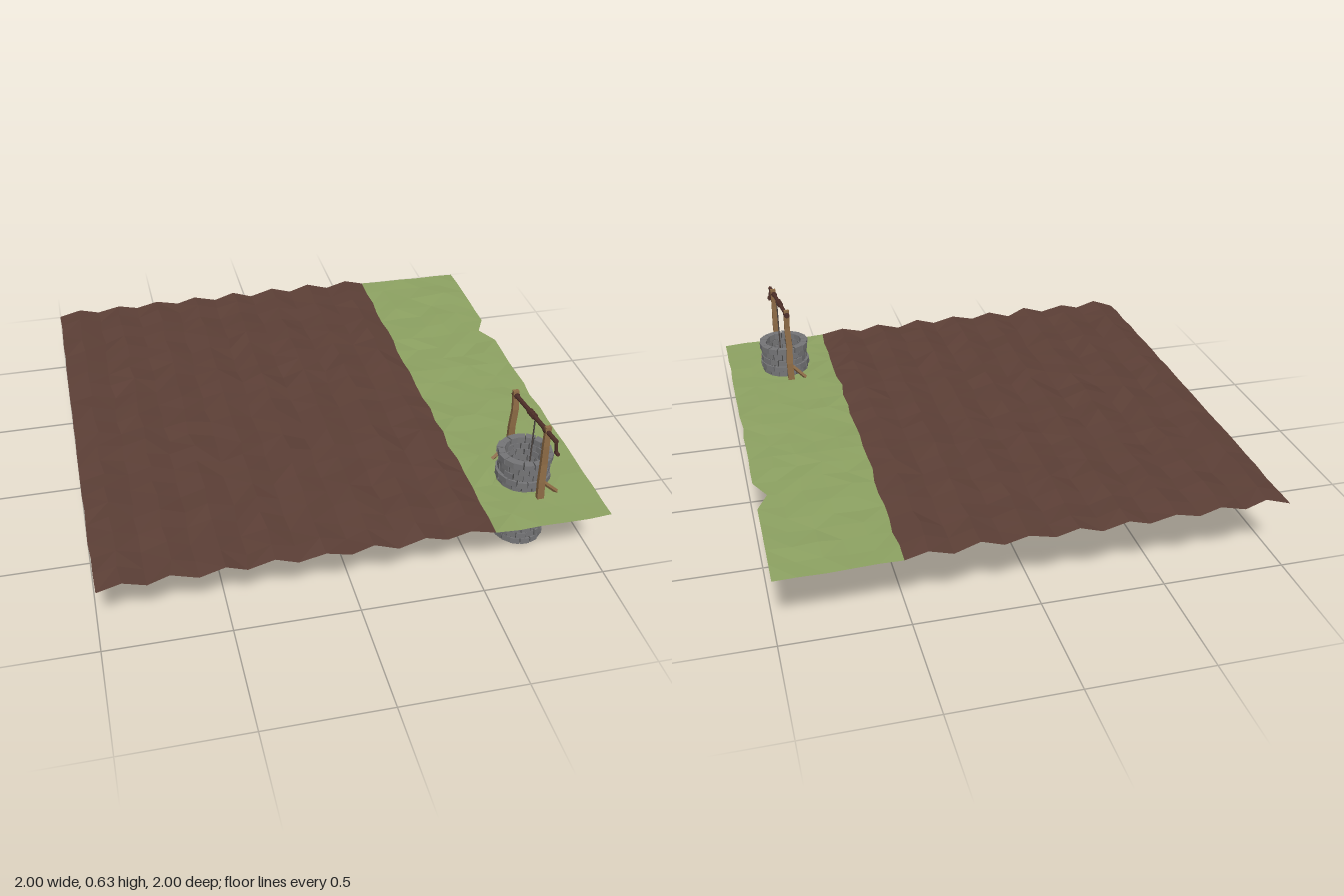
import * as THREE from 'three';
import { mergeGeometries } from 'three/addons/utils/BufferGeometryUtils.js';

const V = (x, y, z) => new THREE.Vector3(x, y, z);

function seeded(seed) {
  return () => {
    seed = (seed * 16807) % 2147483647;
    return (seed / 2147483647) * 2 - 1;   // -1 .. 1
  };
}

const mat = (name, color, side = THREE.FrontSide) => {
  const m = new THREE.MeshStandardMaterial({ color, side });
  m.name = name;
  return m;
};

function flat(geometry) {
  const g = geometry.index ? geometry.toNonIndexed() : geometry;
  g.computeVertexNormals();
  return g;
}

export function createModel() {
  const group = new THREE.Group();
  const soil = mat('soil brown', 0x5d4037, THREE.DoubleSide);
  const grass = mat('grass green', 0x8da262, THREE.DoubleSide);
  const stone = mat('stone grey', 0x757577);
  const mortar = mat('mortar dark grey', 0x484848, THREE.DoubleSide);
  const wood = mat('post wood', 0x8d6b45);
  const darkWood = mat('axle wood', 0x4e2f28);
  const ropeMat = mat('rope', 0x4a423e);

  const add = (name, geometry, material, parent = group) => {
    const mesh = new THREE.Mesh(geometry, material);
    mesh.name = name;
    parent.add(mesh);
    return mesh;
  };

  // ---- Ground: one jittered grid, ploughed ridges on the left, grass on the right
  const N = 21, FIELD = 16, step = 2 / N;
  const cx = 0.745, cz = 0.69;              // well centre
  const rand = seeded(4711);
  const grid = [];
  for (let i = 0; i <= N; i++) {
    grid.push([]);
    for (let j = 0; j <= N; j++) {
      const ridge = i < FIELD && i % 2 === 1;
      const p = V(-1 + i * step + rand() * 0.008, (ridge ? 0.319 : 0.29) + rand() * 0.004, -1 + j * step + rand() * 0.008);
      p.x = THREE.MathUtils.clamp(p.x, -1, 1);
      p.z = THREE.MathUtils.clamp(p.z, -1, 1);
      grid[i].push(p);
    }
  }
  grid[N][6].x = 0.953;                     // notch in the grass edge
  grid[0][0].set(-1, 0.29, -1);
  grid[N][N].set(1, 0.29, 0.99);

  const sheet = (triangles) => {
    const points = [];
    for (const [a, b, c] of triangles) {
      const up = (b.z - a.z) * (c.x - a.x) - (b.x - a.x) * (c.z - a.z) > 0;
      points.push(...(up ? [a, b, c] : [a, c, b]));
    }
    return flat(new THREE.BufferGeometry().setFromPoints(points));
  };
  const soilTris = [], grassTris = [];
  const [i0, i1, j0, j1] = [17, 20, 16, 19]; // patch of grass around the well
  for (let i = 0; i < N; i++) {
    for (let j = 0; j < N; j++) {
      if (i >= i0 && i < i1 && j >= j0 && j < j1) continue;
      const a = grid[i][j], b = grid[i + 1][j], c = grid[i + 1][j + 1], d = grid[i][j + 1];
      const list = i < FIELD ? soilTris : grassTris;
      if (rand() > 0) list.push([a, b, c], [a, c, d]);
      else list.push([a, b, d], [b, c, d]);
    }
  }
  // Patch with a round opening for the shaft
  const rim = [], hole = [];
  for (let i = i0; i < i1; i++) rim.push(grid[i][j0]);
  for (let j = j0; j < j1; j++) rim.push(grid[i1][j]);
  for (let i = i1; i > i0; i--) rim.push(grid[i][j1]);
  for (let j = j1; j > j0; j--) rim.push(grid[i0][j]);
  for (let k = 0; k < 16; k++) {
    const t = -k * Math.PI / 8;
    hole.push(V(cx + 0.093 * Math.cos(t), 0.29, cz + 0.093 * Math.sin(t)));
  }
  const to2 = (p) => new THREE.Vector2(p.x, p.z);
  const all = [...rim, ...hole];
  for (const f of THREE.ShapeUtils.triangulateShape(rim.map(to2), [hole.map(to2)])) {
    grassTris.push(f.map((n) => all[n]));
  }
  add('ploughedField', sheet(soilTris), soil);
  add('grassStrip', sheet(grassTris), grass);

  // ---- Well: staggered courses of curved bricks around a mortar core
  const well = new THREE.Group();
  well.name = 'well';
  well.position.set(cx, 0, cz);
  group.add(well);
  const rows = 14, perRow = 16, y0 = 0.022, h = (0.428 - y0) / rows;
  const bricks = [];
  for (let r = 0; r < rows; r++) {
    const wide = r === rows - 1 || r === 10 ? 0.007 : 0;
    for (let k = 0; k < perRow; k++) {
      const mid = (k + (r % 2) / 2 + rand() * 0.06) * Math.PI * 2 / perRow;
      const outer = 0.104 + wide + rand() * 0.003;
      const inner = 0.082 + rand() * 0.002;
      const g = new THREE.BoxGeometry(1, 1, 1);
      const p = g.attributes.position;
      for (let n = 0; n < p.count; n++) {
        const t = mid - p.getX(n) * 0.91 * Math.PI * 2 / perRow;
        const rad = p.getZ(n) > 0 ? outer : inner;
        p.setXYZ(n, rad * Math.cos(t), y0 + (r + 0.5 + p.getY(n) * 0.92) * h, rad * Math.sin(t));
      }
      bricks.push(flat(g));
    }
  }
  add('wellBricks', mergeGeometries(bricks), stone, well);
  const core = [[0.085, 0.025], [0.099, 0.025], [0.099, 0.424], [0.085, 0.424], [0.085, 0.025]];
  add('wellMortar', flat(new THREE.LatheGeometry(core.map(([x, y]) => new THREE.Vector2(x, y)), 32)), mortar, well);

  // ---- Windlass frame
  const frame = new THREE.Group();
  frame.name = 'windlass';
  group.add(frame);

  // Crooked post: a box whose rings follow a list of [x, z] offsets from foot to top
  const post = (name, path) => {
    const y = 0.285, height = 0.345, n = path.length - 1;
    const g = new THREE.BoxGeometry(0.026, height, 0.018, 1, n, 1);
    const p = g.attributes.position;
    for (let k = 0; k < p.count; k++) {
      const t = p.getY(k) / height + 0.5;
      const [x, z] = path[Math.round(t * n)];
      const s = 1.1 - 0.2 * t;
      p.setXYZ(k, x + p.getX(k) * s, y + t * height, z + p.getZ(k) * s);
    }
    add(name, flat(g), wood, frame);
  };
  post('frontPost', [[0.765, 0.833], [0.762, 0.832], [0.764, 0.828], [0.762, 0.83], [0.764, 0.826]]);
  post('backPost', [[0.733, 0.556], [0.735, 0.557], [0.731, 0.566], [0.735, 0.571], [0.732, 0.566]]);

  // Straight bar between two points
  const bar = (name, a, b, radius, sides, material) => {
    const mesh = add(name, flat(new THREE.CylinderGeometry(radius, radius, a.distanceTo(b), sides)), material, frame);
    mesh.position.copy(a).add(b).multiplyScalar(0.5);
    mesh.quaternion.setFromUnitVectors(V(0, 1, 0), b.clone().sub(a).normalize());
  };
  bar('frontBrace', V(0.762, 0.368, 0.818), V(0.843, 0.293, 0.812), 0.009, 4, wood);
  bar('backBrace', V(0.738, 0.368, 0.557), V(0.668, 0.293, 0.553), 0.009, 4, wood);

  // Axle, its end collars and the crank
  const axleStart = V(0.732, 0.609, 0.55), axleEnd = V(0.77, 0.609, 0.9);
  const along = (t) => axleStart.clone().lerp(axleEnd, t);
  bar('axle', axleStart, axleEnd, 0.009, 8, darkWood);
  for (const t of [0.01, 0.74]) bar('axleCollar', along(t), along(t + 0.07), 0.013, 8, darkWood);
  bar('crankArm', V(0.769, 0.615, 0.897), V(0.776, 0.556, 0.897), 0.006, 6, darkWood);
  bar('crankHandle', V(0.776, 0.556, 0.89), V(0.778, 0.556, 0.912), 0.008, 6, darkWood);

  // Rope wound on the axle and hanging down the shaft
  for (let k = 0; k < 5; k++) {
    bar('ropeCoil', along(0.38 + k * 0.026), along(0.401 + k * 0.026), k % 2 ? 0.012 : 0.0135, 8, darkWood);
  }
  bar('rope', V(0.76, 0.609, 0.713), V(0.76, 0, 0.713), 0.003, 6, ropeMat);

  return group;
}
